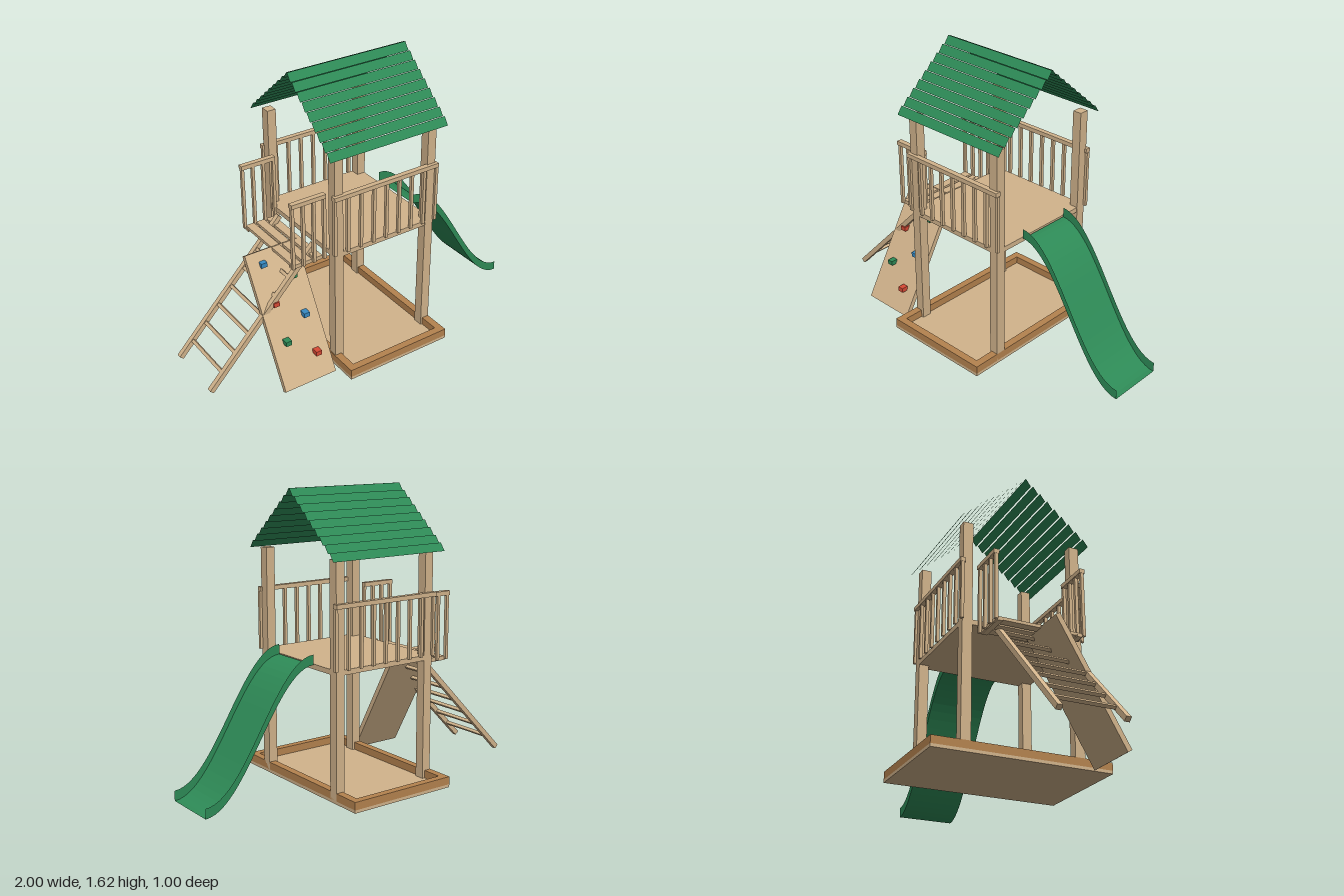
import * as THREE from 'three';

const material = (name, color, side = THREE.FrontSide) => {
  const m = new THREE.MeshStandardMaterial({ color, side, flatShading: true });
  m.name = name;
  return m;
};

export function createModel() {
  const wood = material('tan wood', 0xd2b48c);
  const brown = material('brown wood', 0xb5834f);
  const green = material('green', 0x2e8b57, THREE.DoubleSide);
  const red = material('red', 0xd84a35);
  const blue = material('blue', 0x388bc4);

  const root = new THREE.Group();
  root.name = 'playTower';
  const group = (name) => {
    const g = new THREE.Group();
    g.name = name;
    root.add(g);
    return g;
  };
  // Box given by its minimum and maximum on each axis
  const box = (parent, name, mat, [x0, x1], [y0, y1], [z0, z1]) => {
    const mesh = new THREE.Mesh(new THREE.BoxGeometry(x1 - x0, y1 - y0, z1 - z0), mat);
    mesh.position.set((x0 + x1) / 2, (y0 + y1) / 2, (z0 + z1) / 2);
    mesh.name = name;
    parent.add(mesh);
    return mesh;
  };
  const span = (centre, size) => [centre - size / 2, centre + size / 2];

  // Sandbox
  const sandbox = group('sandbox');
  box(sandbox, 'sandboxFloor', wood, [-0.315, 0.33], [0.008, 0.025], [-0.502, 0.502]);
  for (const s of [-1, 1]) {
    box(sandbox, 'sandboxEndBoard', brown, [-0.315, 0.33], [0.025, 0.068], span(s * 0.481, 0.042));
    box(sandbox, 'sandboxSideBoard', brown, span(0.0075 + s * 0.3015, 0.042), [0.025, 0.068], [-0.46, 0.46]);
  }

  // Posts and deck
  const tower = group('tower');
  for (const x of [-0.284, 0.304])
    for (const s of [-1, 1])
      box(tower, 'post', wood, span(x, 0.052), [0.025, 1.285], span(s * 0.317, 0.056));
  box(tower, 'deck', wood, [-0.308, 0.328], [0.692, 0.72], [-0.344, 0.344]);

  // Railings: balusters under a top cap
  const railing = (name, xs, z, y0, y1, width) => {
    const g = group(name);
    for (const x of xs) box(g, 'baluster', wood, span(x, width), [y0, y1], span(z, 0.018));
    box(g, 'railCap', wood, [xs[0] - 0.01, xs[xs.length - 1] + 0.005], [y1, y1 + 0.024], span(z, 0.03));
  };
  const series = (start, step, n) => Array.from({ length: n }, (_, i) => start + i * step);
  for (const s of [-1, 1]) {
    railing('deckRailing', series(-0.312, 0.081, 9), s * 0.349, 0.716, 1.04, 0.017);
    railing('balconyRailing', series(-0.503, 0.064, 4), s * 0.248, 0.65, 1.014, 0.017);
  }

  // Entry balcony of spaced planks on two bearers
  const balcony = group('balcony');
  for (const x of [-0.475, -0.41, -0.345])
    box(balcony, 'balconyPlank', wood, span(x, 0.05), [0.65, 0.667], [-0.243, 0.243]);
  for (const s of [-1, 1])
    box(balcony, 'balconyBearer', wood, [-0.505, -0.318], [0.643, 0.656], span(s * 0.225, 0.03));

  // Ladder
  const ladder = group('ladder');
  const foot = new THREE.Vector2(-0.988, 0.025), head = new THREE.Vector2(-0.33, 0.706);
  const run = head.clone().sub(foot);
  for (const s of [-1, 1]) {
    const rail = box(ladder, 'ladderRail', wood, [-run.length() / 2, run.length() / 2], [-0.014, 0.014], span(s * 0.174, 0.028));
    rail.position.x = (foot.x + head.x) / 2;
    rail.position.y = (foot.y + head.y) / 2;
    rail.rotation.z = run.angle();
  }
  for (const x of series(-0.908, 0.085, 7)) {
    const y = foot.y + (x - foot.x) * run.y / run.x;
    box(ladder, 'rung', wood, span(x, 0.018), span(y, 0.018), [-0.163, 0.163]).rotation.z = run.angle();
  }

  // Leaning climbing wall: cross-section in z and y, extruded along x
  const wall = new THREE.Shape([[0.4, 0.015], [0.025, 0.67], [0, 0.655], [0.375, 0]].map(([z, y]) => new THREE.Vector2(-z, y)));
  const board = new THREE.Mesh(new THREE.ExtrudeGeometry(wall, { depth: 0.317, bevelEnabled: false }), wood);
  board.name = 'climbingWall';
  board.rotation.y = Math.PI / 2;
  board.position.x = -0.662;
  root.add(board);
  const holds = group('climbingHolds');
  [red, green, blue, red, green, blue].forEach((mat, i) => {
    const y = [0.147, 0.24, 0.331, 0.424, 0.518, 0.61][i];
    const x = i % 2 === 0 ? -0.428 : -0.578;
    // The columns swap for the upper three holds
    const columns = [-0.428, -0.578, -0.428, -0.578, -0.428, -0.578];
    box(holds, 'hold', mat, span(columns[i] ?? x, 0.034), span(y, 0.027), span(0.345 - (y - 0.147) * 0.613, 0.04));
  });

  // Slide: open channel swept down an S curve
  const steps = 24, position = [], index = [];
  for (let i = 0; i <= steps; i++) {
    const t = i / steps, x = 0.34 + 0.66 * t;
    const y = 0.375 + 0.345 * Math.cos(Math.PI * t);
    for (const [dy, z] of [[0.055, 0.16], [0, 0.16], [0, -0.16], [0.055, -0.16]])
      position.push([x, y + dy, z]);
    if (i < steps)
      for (let k = 0; k < 3; k++) {
        const a = i * 4 + k, b = a + 4;
        index.push(a, a + 1, b + 1, a, b + 1, b);
      }
  }
  const slideGeometry = new THREE.BufferGeometry();
  slideGeometry.setAttribute('position', new THREE.Float32BufferAttribute(position.flat(), 3));
  // Reverse so that the bed faces up
  slideGeometry.setIndex(index.reverse());
  const normals = slideGeometry.toNonIndexed();
  normals.computeVertexNormals();
  if (normals.attributes.normal.getY(6) < 0) {
    slideGeometry.setIndex(index.reverse());
  }
  const slideFaces = slideGeometry.toNonIndexed();
  slideFaces.computeVertexNormals();
  const slide = new THREE.Mesh(slideFaces, green);
  slide.name = 'slide';
  root.add(slide);

  // Gable roof of thin overlapping slats, mirrored front to back
  const slatRise = 0.042, slatRun = 0.03;
  const slat = new THREE.PlaneGeometry(0.733, Math.hypot(slatRise, slatRun));
  slat.rotateX(-Math.atan2(slatRun, slatRise));
  for (const turn of [0, Math.PI]) {
    const side = group('roofSide');
    side.position.x = 0.008;
    side.rotation.y = turn;
    for (let i = 0; i < 9; i++) {
      const mesh = new THREE.Mesh(slat, green);
      mesh.name = 'roofSlat';
      mesh.position.set(0, 1.601 - i * 0.0373, 0.018 + i * 0.0435);
      side.add(mesh);
    }
  }
  return root;
}
